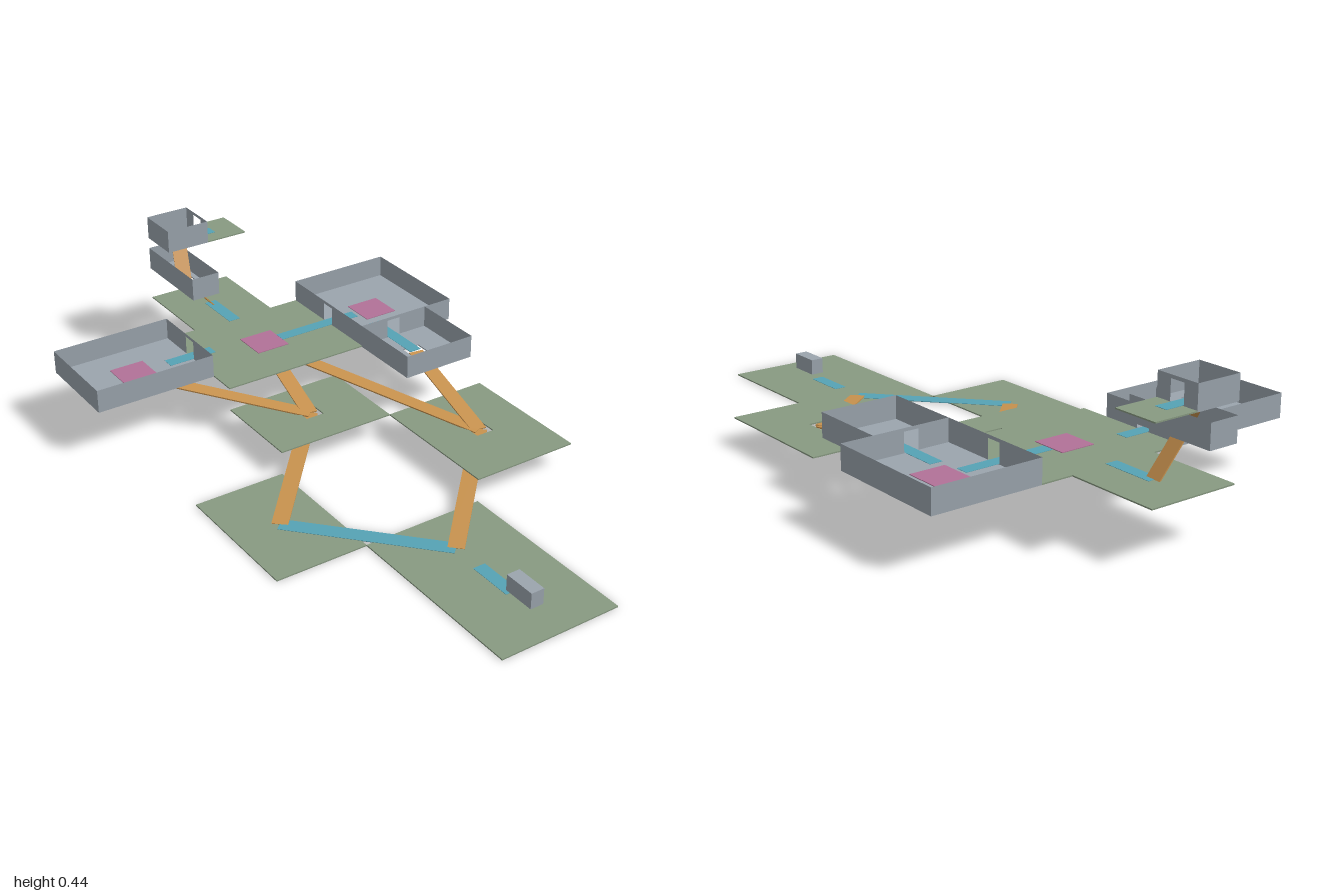
import * as THREE from 'three';

const mat = (name, color, side = THREE.FrontSide) => {
  const m = new THREE.MeshStandardMaterial({ color, side });
  m.name = name;
  return m;
};

export function createModel() {
  const green = mat('terrace green', 0x889a82);
  const grey = mat('room grey', 0x9ba5ae, THREE.DoubleSide);
  const brown = mat('ramp brown', 0xc8924e);
  const teal = mat('path teal', 0x56a3b5);
  const pink = mat('marker pink', 0xb27298);

  const root = new THREE.Group();
  root.name = 'terracedRooms';
  const T = 0.004; // slab thickness
  const HOLE = 0.03; // half size of floor openings

  const add = (name, geo, material, parent = root) => {
    const mesh = new THREE.Mesh(geo, material);
    mesh.name = name;
    parent.add(mesh);
    return mesh;
  };
  const rect = (Kind, x0, y0, x1, y1) => {
    const p = new Kind();
    p.moveTo(x0, y0);
    p.lineTo(x1, y0);
    p.lineTo(x1, y1);
    p.lineTo(x0, y1);
    p.closePath();
    return p;
  };

  // Thin horizontal slab, optionally with a square opening in the middle
  const slab = (name, x0, x1, z0, z1, y, material, open, parent = root) => {
    const s = rect(THREE.Shape, x0, -z1, x1, -z0);
    if (open) {
      const cx = (x0 + x1) / 2, cz = -(z0 + z1) / 2;
      s.holes.push(rect(THREE.Path, cx - HOLE, cz - HOLE, cx + HOLE, cz + HOLE));
    }
    const g = new THREE.ExtrudeGeometry(s, { depth: T, bevelEnabled: false });
    g.rotateX(-Math.PI / 2).translate(0, y, 0);
    return add(name, g, material, parent);
  };

  // Terraces: x0, x1, z0, z1, y, opening
  [
    ['frontTerrace', -0.22, 0.165, 0.41, 1, 0, false],
    ['rightTerrace', -0.51, -0.22, -0.025, 0.41, 0, false],
    ['leftTerrace', 0.165, 0.51, -0.025, 0.41, 0.075, true],
    ['middleTerrace', -0.22, 0.165, -0.32, -0.025, 0.075, true],
    ['upperTerrace', -0.22, 0.265, -0.71, -0.32, 0.15, false],
    ['backTerrace', -0.12, 0.165, -1, -0.71, 0.15, false],
    ['topTerrace', 0.025, 0.165, -1, -0.86, 0.37, false],
  ].forEach(([n, x0, x1, z0, z1, y, o]) => slab(n, x0, x1, z0, z1, y, green, o));

  // Open-topped room; doors give the position along a wall, skip omits a wall
  const room = (name, x0, x1, z0, z1, y, open, doors = {}, skip = '') => {
    const g = new THREE.Group();
    g.name = name;
    root.add(g);
    slab('floor', x0, x1, z0, z1, y, grey, open, g);
    const H = 0.074, D = 0.0235;
    const wall = (key, a, b, place) => {
      if (key === skip) return;
      const s = rect(THREE.Shape, a, 0, b, H);
      const d = doors[key];
      if (d !== undefined) s.holes.push(rect(THREE.Path, d - D, 0.005, d + D, 0.064));
      place(add(key + 'Wall', new THREE.ShapeGeometry(s), grey, g));
    };
    wall('back', x0, x1, (m) => m.position.set(0, y, z0));
    wall('front', x0, x1, (m) => m.position.set(0, y, z1));
    const side = (x) => (m) => {
      m.rotation.y = -Math.PI / 2;
      m.position.set(x, y, 0);
    };
    wall('right', z0, z1, side(x0));
    wall('left', z0, z1, side(x1));
  };
  room('rightRoom', -0.61, -0.22, -0.71, -0.415, 0.15, false, { left: -0.5625 });
  room('leftRoom', 0.265, 0.61, -0.71, -0.32, 0.15, false, { right: -0.515, front: 0.3875 });
  room('leftFrontRoom', 0.265, 0.51, -0.32, -0.075, 0.15, true, {}, 'back');
  room('lowerTowerRoom', -0.12, -0.025, -1, -0.71, 0.26, true);
  room('upperTowerRoom', -0.12, 0.025, -1, -0.86, 0.37, true, { left: -0.93 });

  // Small block on the front terrace
  add('smallBlock', new THREE.BoxGeometry(0.042, 0.05, 0.1), grey).position.set(-0.026, 0.045, 0.85);

  // Straight ribbon between two points
  const ribbon = (name, a, b, width, material, thick = T) => {
    const p = new THREE.Vector3(...a), q = new THREE.Vector3(...b);
    const m = add(name, new THREE.BoxGeometry(width, thick, p.distanceTo(q)), material);
    m.position.lerpVectors(p, q, 0.5);
    m.lookAt(q);
  };

  // Ramps joining the levels
  const front = [-0.027, 0.003, 0.56], right = [-0.365, 0.003, 0.1925];
  const left = [0.3375, 0.076, 0.1925], middle = [-0.0275, 0.076, -0.1725];
  const upper = [0.0225, 0.149, -0.515], tower = [-0.0725, 0.261, -0.855];
  [
    [front, left],
    [right, middle],
    [middle, [-0.415, 0.149, -0.5625]],
    [middle, upper],
    [left, upper],
    [left, [0.3875, 0.15, -0.1975]],
    [[0.0225, 0.152, -0.855], tower],
    [tower, [-0.0475, 0.371, -0.93]],
  ].forEach(([a, b], i) => ribbon('ramp' + (i + 1), a, b, 0.048, brown));

  // Level paths
  const path = (x0, z0, x1, z1, y, w = 0.04) =>
    ribbon('path', [x0, y + T, z0], [x1, y + T, z1], w, teal, 0.002);
  path(-0.365, 0.1925, -0.027, 0.56, 0, 0.05);
  path(-0.026, 0.66, -0.026, 0.8, 0);
  path(0.08, -0.515, 0.37, -0.515, 0.15);
  path(-0.3, -0.5625, -0.14, -0.5625, 0.15);
  path(0.3875, -0.2, 0.3875, -0.43, 0.15);
  path(0.0225, -0.7, 0.0225, -0.86, 0.15);
  path(-0.045, -0.93, 0.08, -0.93, 0.37);

  // Square floor markers
  [[-0.415, -0.5625], [0.0225, -0.515], [0.4375, -0.515]].forEach(([x, z]) => {
    add('floorMarker', new THREE.BoxGeometry(0.112, 0.002, 0.112), pink).position.set(x, 0.15 + T + 0.001, z);
  });

  return root;
}
